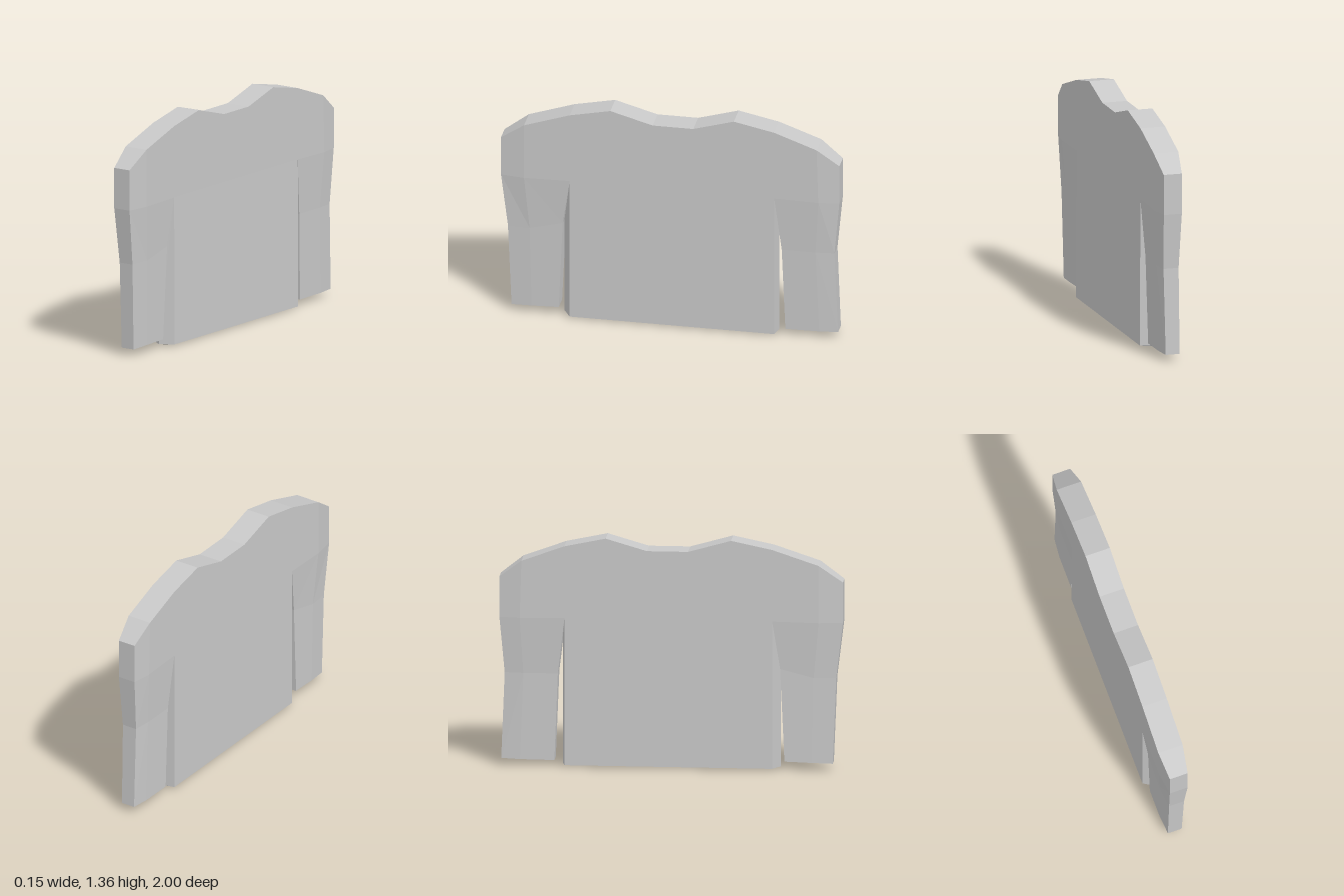
import * as THREE from 'three';

const grey = new THREE.MeshStandardMaterial({ color: 0xc8c8c8, flatShading: true });
grey.name = 'plain grey';

// A station is a place on the side profile plus its two surface depths.
const st = (z, y, x0 = -0.08, x1 = 0.07) => ({ z, y, x0, x1 });
const near = (p) => [p.x1, p.y, p.z];
const far = (p) => [p.x0, p.y, p.z];

function quad(out, a, b, c, d) {
  out.push(...a, ...b, ...c, ...a, ...c, ...d);
}

// Broad faces: columns run from +z to -z, each listed top to bottom.
function faces(out, columns) {
  for (let i = 0; i + 1 < columns.length; i++) {
    const l = columns[i], r = columns[i + 1];
    for (let j = 0; j + 1 < l.length; j++) {
      quad(out, near(l[j]), near(l[j + 1]), near(r[j + 1]), near(r[j]));
      quad(out, far(l[j]), far(r[j]), far(r[j + 1]), far(l[j + 1]));
    }
  }
}

// Edge wall along a path, with its middle line pushed out by dy and dz.
function rim(out, path, dy = 0, dz = 0) {
  const mid = (p) => [-0.005, p.y + dy, p.z + dz];
  for (let i = 0; i + 1 < path.length; i++) {
    const p = path[i], q = path[i + 1];
    quad(out, near(p), mid(p), mid(q), near(q));
    quad(out, mid(p), far(p), far(q), mid(q));
  }
}

function makeMesh(name, positions) {
  const g = new THREE.BufferGeometry();
  g.setAttribute('position', new THREE.Float32BufferAttribute(positions, 3));
  g.computeVertexNormals();
  const mesh = new THREE.Mesh(g, grey);
  mesh.name = name;
  return mesh;
}

// Sleeve: outer, crease and inner columns, thinner towards the cuff and outer end.
function makeSleeve(name, outer, crease, inner, front) {
  const thin = [[-0.06, 0.05], [-0.06, 0.05], [-0.05, 0.042], [-0.05, 0.035]];
  const full = [[-0.08, 0.07], [-0.08, 0.07], [-0.062, 0.052], [-0.06, 0.042]];
  const column = (pts, depth) => pts.map(([z, y], i) => st(z, y, ...depth[i]));
  const o = column(outer, thin), c = column(crease, full), n = column(inner, full);
  const out = [];
  faces(out, front ? [o, c, n] : [n, c, o]);
  const top = [n[0], c[0], o[0]];
  const cuff = [o[3], c[3], n[3]];
  const slot = n.slice(1).reverse();
  const dir = (path) => (front ? path : [...path].reverse());
  rim(out, dir(top));
  rim(out, dir(o));
  rim(out, dir(cuff), -0.01);
  rim(out, dir(slot));
  return makeMesh(name, out);
}

// Torso: stepped shoulder line with a neck dip, ridged sides.
function makeTorso() {
  const line = [[0.59, 1.31], [0.35, 1.36], [0.1, 1.29], [-0.14, 1.29], [-0.38, 1.36], [-0.62, 1.31]];
  const columns = line.map(([z, y]) => [st(z, y), st(z, 0.885), st(z, 0.01, -0.08, 0.073)]);
  const out = [];
  faces(out, columns);
  rim(out, columns.map((c) => c[0]).reverse());
  rim(out, columns.map((c) => c[2]), -0.01);
  const left = columns[0], right = columns[5];
  rim(out, [left[1], left[2]], 0, 0.045);
  rim(out, [right[2], right[1]], 0, -0.016);
  // Small end caps under the side ridges
  for (const [p, dz] of [[left[2], 0.045], [right[2], -0.016]]) {
    const tip = [-0.005, p.y, p.z + dz], low = [-0.005, p.y - 0.01, p.z];
    if (dz > 0) out.push(...near(p), ...tip, ...low, ...low, ...tip, ...far(p));
    else out.push(...near(p), ...low, ...tip, ...low, ...far(p), ...tip);
  }
  return makeMesh('torso', out);
}

export function createModel() {
  const group = new THREE.Group();
  group.name = 'flatGarment';
  group.add(
    makeTorso(),
    makeSleeve('frontSleeve',
      [[1, 1.12], [1, 0.88], [0.96, 0.55], [0.94, 0.04]],
      [[0.86, 1.22], [0.86, 0.88], [0.83, 0.55], [0.82, 0.045]],
      [[0.59, 1.31], [0.59, 0.885], [0.635, 0.6], [0.66, 0.05]], true),
    makeSleeve('backSleeve',
      [[-1, 1.12], [-1, 0.88], [-0.97, 0.55], [-0.99, 0.04]],
      [[-0.87, 1.22], [-0.88, 0.88], [-0.86, 0.55], [-0.88, 0.037]],
      [[-0.62, 1.31], [-0.62, 0.885], [-0.66, 0.55], [-0.68, 0.035]], false),
  );
  return group;
}
